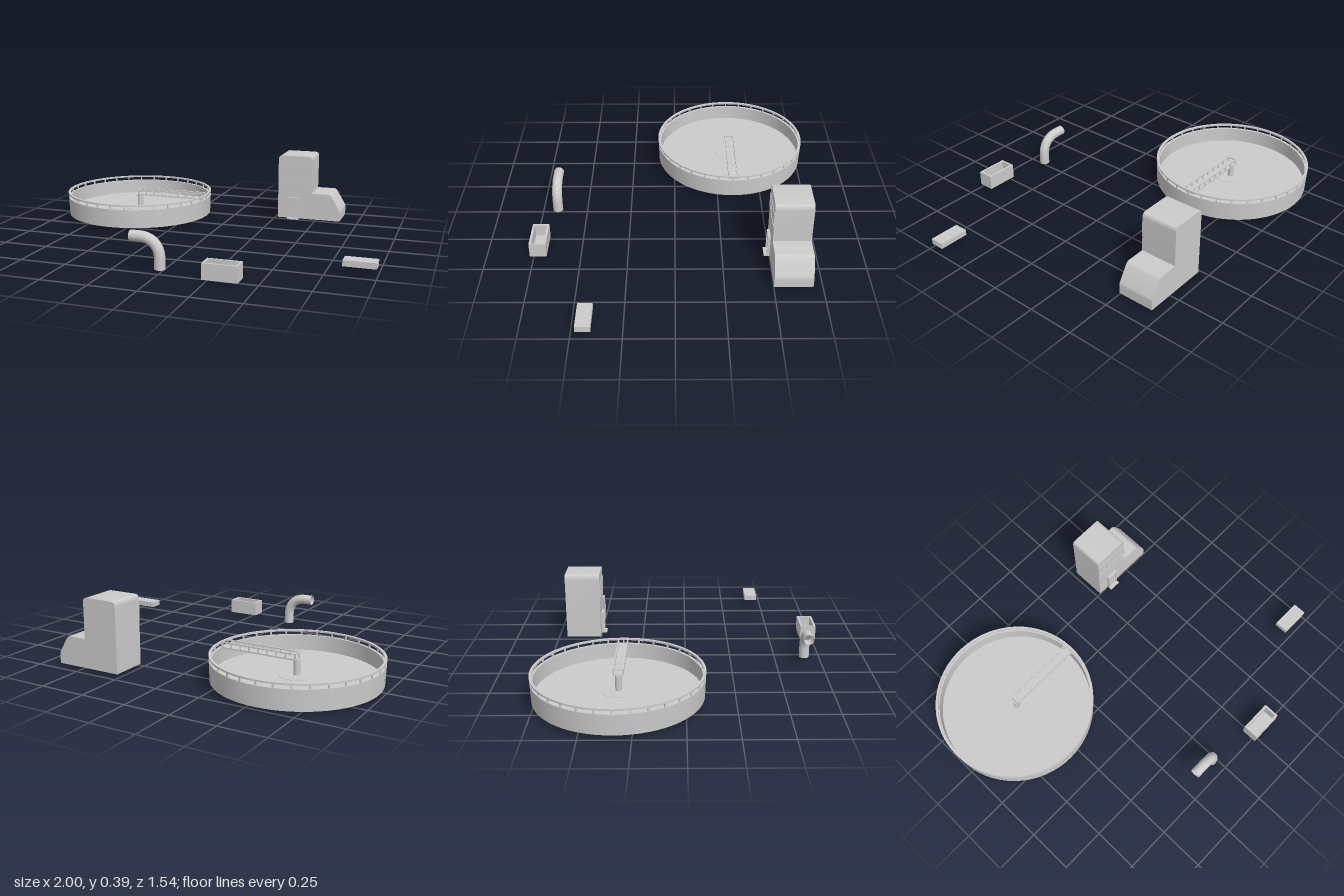
import * as THREE from 'three';
import { toCreasedNormals } from 'three/addons/utils/BufferGeometryUtils.js';

const grey = new THREE.MeshStandardMaterial({ color: 0xcccccc });
const greyDouble = new THREE.MeshStandardMaterial({ color: 0xcccccc, side: THREE.DoubleSide });

function add(parent, name, geometry, x = 0, y = 0, z = 0, material = grey) {
  const mesh = new THREE.Mesh(geometry, material);
  mesh.name = name;
  mesh.position.set(x, y, z);
  parent.add(mesh);
  return mesh;
}

// Box given by its minimum and maximum corners
function box(parent, name, x0, x1, y0, y1, z0, z1) {
  return add(parent, name, new THREE.BoxGeometry(x1 - x0, y1 - y0, z1 - z0),
    (x0 + x1) / 2, (y0 + y1) / 2, (z0 + z1) / 2);
}

function group(parent, name, x = 0, y = 0, z = 0) {
  const g = new THREE.Group();
  g.name = name;
  g.position.set(x, y, z);
  parent.add(g);
  return g;
}

function createTank(parent) {
  const tank = group(parent, 'settlingTank', -0.5625, 0, -0.337);
  // Basin: underside, outer wall, rim, inner wall and floor
  const profile = [[0, 0.022], [0.432, 0.022], [0.436, 0.128], [0.421, 0.128], [0.421, 0.045], [0, 0.045]]
    .map(([r, y]) => new THREE.Vector2(r, y));
  add(tank, 'basin', toCreasedNormals(new THREE.LatheGeometry(profile, 64), 0.5));
  add(tank, 'sumpDisc', new THREE.CylinderGeometry(0.088, 0.088, 0.003, 40), 0, 0.0455, 0);
  add(tank, 'pillar', new THREE.CylinderGeometry(0.017, 0.017, 0.085, 20), 0, 0.085, 0);

  // Railing around the rim
  const rail = [[0.424, 0.147], [0.4375, 0.147], [0.4375, 0.156], [0.424, 0.156], [0.424, 0.147]]
    .map(([r, y]) => new THREE.Vector2(r, y));
  add(tank, 'rimRail', toCreasedNormals(new THREE.LatheGeometry(rail, 64), 0.5));
  for (let i = 0; i < 32; i++) {
    const a = (i / 32) * Math.PI * 2;
    const post = add(tank, 'rimPost', new THREE.BoxGeometry(0.007, 0.026, 0.008),
      Math.cos(a) * 0.43, 0.138, Math.sin(a) * 0.43);
    post.rotation.y = -a;
  }

  // Bridge from the pillar to the rim
  const bridge = group(tank, 'bridge');
  box(bridge, 'deck', -0.004, 0.418, 0.125, 0.133, -0.026, 0.026);
  for (const side of [-1, 1]) {
    const z = side * 0.0245;
    box(bridge, 'handrail', -0.004, 0.418, 0.154, 0.161, z - 0.0035, z + 0.0035);
    for (let i = 0; i <= 8; i++) {
      const x = i * 0.0515;
      box(bridge, 'bridgePost', x - 0.003, x + 0.003, 0.13, 0.157, z - 0.003, z + 0.003);
    }
  }
  box(bridge, 'endRail', -0.006, 0.001, 0.154, 0.161, -0.026, 0.026);
}

function createBuilding(parent) {
  const building = group(parent, 'building');
  // Side profile: tall tower with a low sloping annex
  const s = new THREE.Shape();
  s.moveTo(0.273, 0.01);
  s.lineTo(0.649, 0.01);
  s.lineTo(0.649, 0.06);
  s.quadraticCurveTo(0.649, 0.069, 0.643, 0.079);
  s.lineTo(0.597, 0.156);
  s.quadraticCurveTo(0.589, 0.168, 0.575, 0.168);
  s.lineTo(0.476, 0.168);
  s.lineTo(0.476, 0.365);
  s.quadraticCurveTo(0.476, 0.389, 0.452, 0.389);
  s.lineTo(0.297, 0.389);
  s.quadraticCurveTo(0.273, 0.389, 0.273, 0.365);
  s.closePath();
  const body = new THREE.ExtrudeGeometry(s, { depth: 0.2, bevelEnabled: false, curveSegments: 8 });
  add(building, 'body', toCreasedNormals(body, 0.5), 0, 0, -0.7);

  // Window band with two panes
  const frame = new THREE.Shape();
  frame.moveTo(0.273, 0.25);
  frame.lineTo(0.476, 0.25);
  frame.lineTo(0.476, 0.332);
  frame.lineTo(0.273, 0.332);
  frame.closePath();
  for (const [a, b] of [[0.278, 0.34], [0.346, 0.471]]) {
    const pane = new THREE.Path();
    pane.moveTo(a, 0.255);
    pane.lineTo(a, 0.327);
    pane.lineTo(b, 0.327);
    pane.lineTo(b, 0.255);
    pane.closePath();
    frame.holes.push(pane);
  }
  add(building, 'windowFrame', new THREE.ExtrudeGeometry(frame, { depth: 0.003, bevelEnabled: false }), 0, 0, -0.5);

  // Door with raised frame and step
  box(building, 'door', 0.343, 0.397, 0.01, 0.13, -0.502, -0.492);
  box(building, 'doorJamb', 0.337, 0.344, 0.01, 0.137, -0.502, -0.485);
  box(building, 'doorJamb', 0.396, 0.403, 0.01, 0.137, -0.502, -0.485);
  box(building, 'doorLintel', 0.337, 0.403, 0.13, 0.137, -0.502, -0.485);
  box(building, 'doorStep', 0.337, 0.403, 0.008, 0.015, -0.502, -0.47);
}

function createPipe(parent) {
  // Pipe elbow, open at both ends
  const path = new THREE.CurvePath();
  const v = (x, y) => new THREE.Vector3(x, y, 0);
  path.add(new THREE.LineCurve3(v(-0.178, 0.16), v(-0.13, 0.16)));
  path.add(new THREE.CubicBezierCurve3(v(-0.13, 0.16), v(-0.07, 0.16), v(-0.023, 0.125), v(-0.023, 0.05)));
  path.add(new THREE.LineCurve3(v(-0.023, 0.05), v(-0.023, 0.001)));
  add(parent, 'pipeElbow', new THREE.TubeGeometry(path, 40, 0.028, 24, false), 0, 0, 0.668, greyDouble);
}

function createTrough(parent) {
  // Open container with a floor
  const trough = group(parent, 'container');
  const [x0, x1, z0, z1, t] = [0.226, 0.404, 0.681, 0.77, 0.012];
  box(trough, 'containerFloor', x0, x1, 0.006, 0.02, z0, z1);
  box(trough, 'containerSide', x0, x0 + t, 0.02, 0.088, z0, z1);
  box(trough, 'containerSide', x1 - t, x1, 0.02, 0.088, z0, z1);
  box(trough, 'containerSide', x0 + t, x1 - t, 0.02, 0.088, z0, z0 + t);
  box(trough, 'containerSide', x0 + t, x1 - t, 0.02, 0.088, z1 - t, z1);
}

function createSlab(parent) {
  // Slab with small bores running lengthwise
  const s = new THREE.Shape();
  s.moveTo(-0.0375, -0.0155);
  s.lineTo(0.0375, -0.0155);
  s.lineTo(0.0375, 0.0155);
  s.lineTo(-0.0375, 0.0155);
  s.closePath();
  for (const [x, y] of [[-0.018, 0], [0, -0.004], [0.018, 0]]) {
    const hole = new THREE.Path();
    hole.absarc(x, y, 0.004, 0, Math.PI * 2, true);
    s.holes.push(hole);
  }
  const slab = add(parent, 'slab', new THREE.ExtrudeGeometry(s, { depth: 0.164, bevelEnabled: false, curveSegments: 8 }),
    0.834, 0.061, 0.436);
  slab.rotation.y = Math.PI / 2;
}

export function createModel() {
  const model = new THREE.Group();
  model.name = 'treatmentPlant';
  createTank(model);
  createBuilding(model);
  createPipe(model);
  createTrough(model);
  createSlab(model);
  return model;
}
